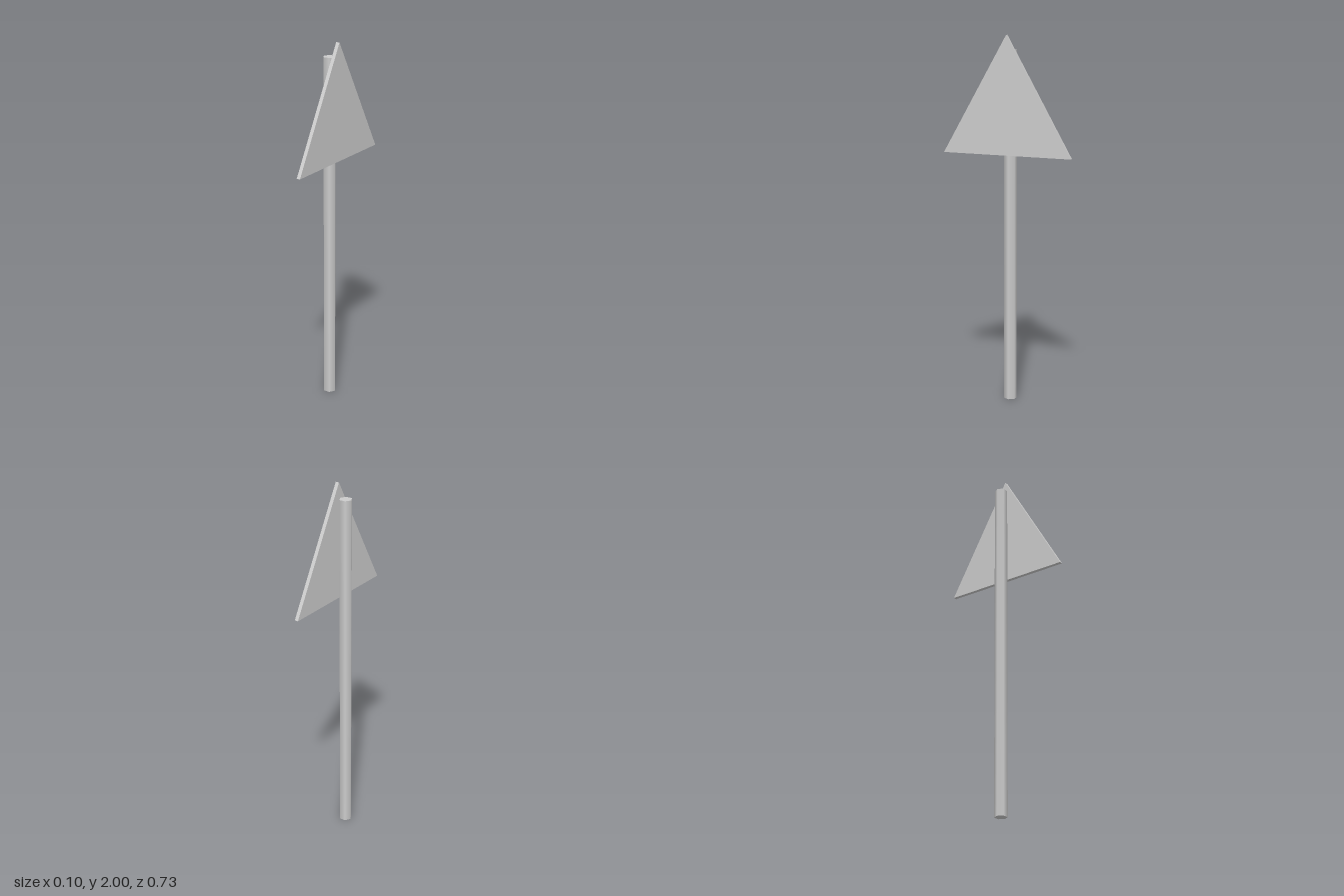
import * as THREE from 'three';

export function createModel() {
  const group = new THREE.Group();
  const material = new THREE.MeshStandardMaterial({ color: 0xcccccc });

  // Six-sided post with corners pointing along x, smooth round the side
  const height = 1.92;
  const post = new THREE.Mesh(
    new THREE.CylinderGeometry(0.035, 0.035, height, 6, 1, false, Math.PI / 2),
    material
  );
  post.name = 'post';
  post.position.set(-0.0135, height / 2, 0);
  group.add(post);

  // Thin triangular plate beside the post, facing +x
  const triangle = new THREE.Shape([
    new THREE.Vector2(-0.363, 1.366),
    new THREE.Vector2(0.363, 1.366),
    new THREE.Vector2(0, 2),
  ]);
  const plate = new THREE.Mesh(
    new THREE.ExtrudeGeometry(triangle, { depth: 0.02, bevelEnabled: false }),
    material
  );
  plate.name = 'signPlate';
  plate.rotation.y = Math.PI / 2;
  plate.position.x = 0.028;
  group.add(plate);

  return group;
}
